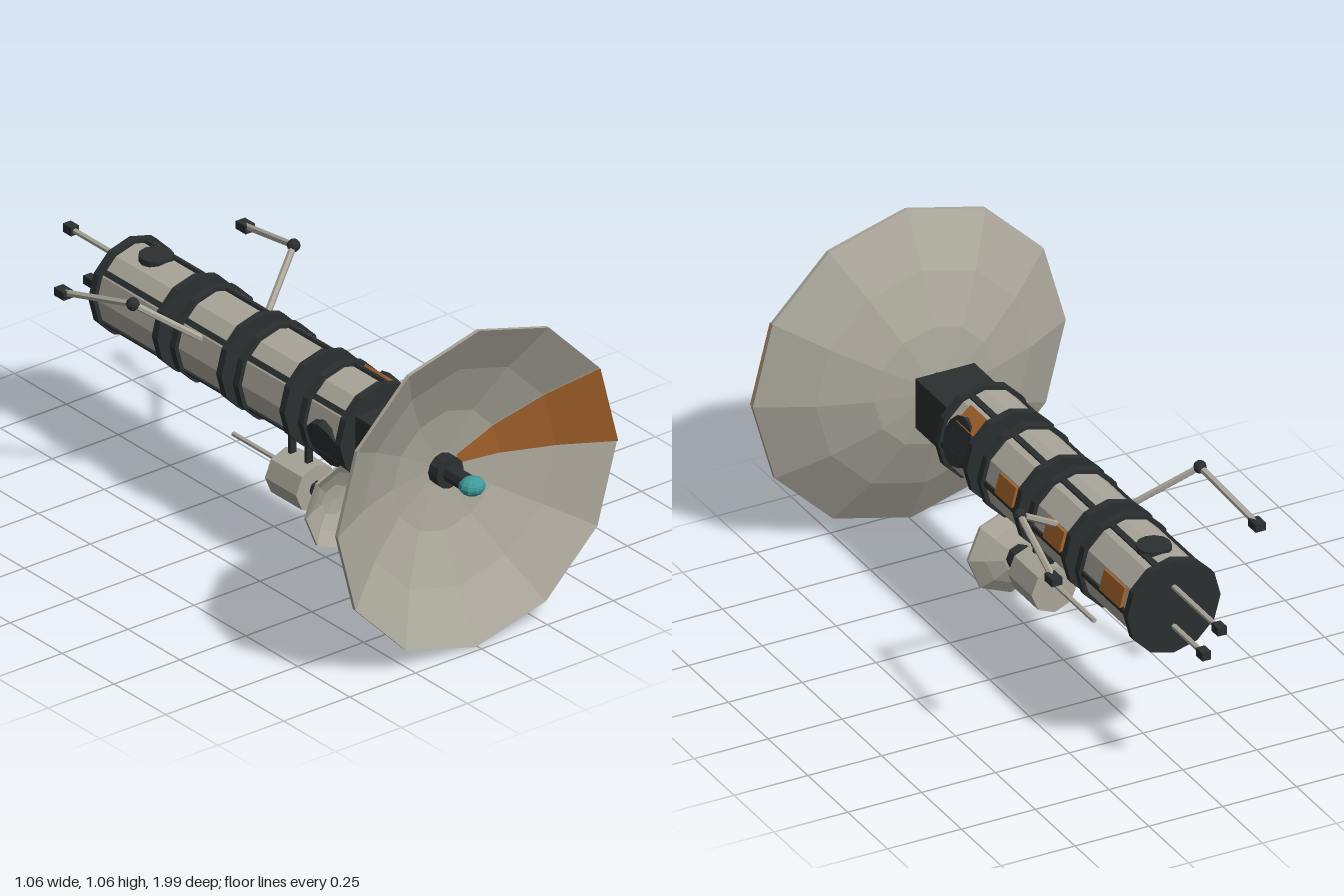
import * as THREE from 'three';

const mat = (color, side = THREE.FrontSide) => new THREE.MeshStandardMaterial({ color, side, flatShading: true });
const HULL = mat(0xaaa69a), DARK = mat(0x2b2f30), ORANGE = mat(0xa5622c), TEAL = mat(0x3f9a9a);
const SHELL = mat(0xaaa69a, THREE.DoubleSide), PATCH = mat(0xa5622c, THREE.DoubleSide);
const AXIS = 0.536; // height of the station's long axis

export function createModel() {
  const root = new THREE.Group();
  root.name = 'spaceStation';

  const add = (name, geo, material, x = 0, y = 0, z = 0, parent = root) => {
    const m = new THREE.Mesh(geo, material);
    m.name = name;
    m.position.set(x, y, z);
    parent.add(m);
    return m;
  };
  // cylinder lying along z between two stations
  const tube = (name, r, z0, z1, sides, material, y = AXIS, parent = root) =>
    add(name, new THREE.CylinderGeometry(r, r, z1 - z0, sides).rotateX(Math.PI / 2), material, 0, y, (z0 + z1) / 2, parent);
  // thin rod between two points
  const rod = (name, a, b, r, material) => {
    const p = new THREE.Vector3(...a), q = new THREE.Vector3(...b);
    const mid = p.clone().add(q).multiplyScalar(0.5);
    const m = add(name, new THREE.CylinderGeometry(r, r, p.distanceTo(q), 6), material, mid.x, mid.y, mid.z);
    m.quaternion.setFromUnitVectors(new THREE.Vector3(0, 1, 0), q.sub(p).normalize());
    return m;
  };
  // part laid on the hull at an angle around the axis, measured from +x
  const onHull = (name, geo, material, degrees, dist, z) => {
    const a = THREE.MathUtils.degToRad(degrees);
    const m = add(name, geo, material, Math.cos(a) * dist, AXIS + Math.sin(a) * dist, z);
    m.rotation.z = a;
    return m;
  };
  const lathe = (pts, sides, start = 0, length = Math.PI * 2) =>
    new THREE.LatheGeometry(pts.map(p => new THREE.Vector2(...p)), sides, start, length).rotateX(Math.PI / 2);
  const shift = (pts, d) => pts.map(([r, z]) => [r, z + d]);

  // pressurised modules with end rings and five ribs
  const modules = [[0.315, 0.52], [0.002, 0.252], [-0.303, -0.052], [-0.694, -0.362]];
  modules.forEach(([z0, z1]) => {
    tube('moduleHull', 0.144, z0 + 0.01, z1 - 0.01, 12, HULL);
    tube('moduleRing', 0.158, z0, z0 + 0.026, 12, DARK);
    tube('moduleRing', 0.158, z1 - 0.026, z1, 12, DARK);
    for (let i = 0; i < 5; i++)
      onHull('hullRib', new THREE.BoxGeometry(0.02, 0.018, z1 - z0 - 0.02), DARK, i * 72, 0.139, (z0 + z1) / 2);
  });

  // connecting tunnels and the block behind the dish
  [[-0.37, -0.295], [-0.06, 0.01], [0.245, 0.32], [0.73, 0.805]].forEach(([a, b]) =>
    tube('connector', 0.054, a, b, 10, DARK));
  add('serviceBlock', new THREE.BoxGeometry(0.2, 0.168, 0.23), DARK, 0, AXIS, 0.63);

  // coloured hull panels
  [[0.4, 50, 0.1], [0.097, 15, 0.105], [-0.205, 15, 0.105], [-0.572, 15, 0.13]].forEach(([z, deg, len]) =>
    onHull('hullPanel', new THREE.BoxGeometry(0.024, 0.066, len), ORANGE, deg, 0.138, z));

  // round hatches
  const hatch = r => new THREE.CylinderGeometry(r, r, 0.03, 12).rotateZ(-Math.PI / 2);
  onHull('sideHatch', hatch(0.079), DARK, 18, 0.128, 0.415);
  onHull('sideHatch', hatch(0.079), DARK, 198, 0.128, 0.415);
  onHull('topHatch', hatch(0.054), DARK, 90, 0.135, -0.567);

  // main dish
  const dish = new THREE.Group();
  dish.name = 'mainDish';
  dish.position.y = 0.533;
  dish.rotation.z = -0.014;
  root.add(dish);
  const bowl = [[0, 0.793], [0.06, 0.795], [0.2, 0.816], [0.365, 0.878], [0.53, 0.968]];
  add('dishBowl', lathe([...bowl, ...shift(bowl, 0.013).reverse()], 12), SHELL, 0, 0, 0, dish);
  add('dishPanel', lathe(shift(bowl, 0.018).slice(1), 1, Math.PI / 2, Math.PI / 6), PATCH, 0, 0, 0, dish);
  tube('feedBase', 0.051, 0.79, 0.85, 12, DARK, 0, dish);
  tube('feedMast', 0.028, 0.85, 0.94, 8, DARK, 0, dish);
  add('feedTip', new THREE.SphereGeometry(1, 10, 8).scale(0.042, 0.03, 0.04), TEAL, 0, 0, 0.955, dish);

  // small dish unit hanging below
  [0.168, 0.088].forEach(z => rod('podStrut', [0, 0.42, z], [0, 0.27, z], 0.013, DARK));
  tube('podDrum', 0.078, 0.056, 0.206, 8, HULL, 0.216);
  tube('podNeck', 0.027, 0.2, 0.24, 8, DARK, 0.216);
  tube('podCollar', 0.042, 0.235, 0.29, 8, DARK, 0.216);
  const small = [[0, 0.28], [0.05, 0.284], [0.1, 0.303], [0.145, 0.33]];
  add('podDish', lathe([...small, ...shift(small, 0.01).reverse()], 8), SHELL, 0, 0.214, 0);
  rod('podAntenna', [0, 0.235, 0.06], [0, 0.235, -0.195], 0.008, HULL);

  // mirrored jointed arms
  [1, -1].forEach(s => {
    const base = [s * 0.12, 0.595, -0.188], elbow = [s * 0.305, 0.73, -0.292], tip = [s * 0.344, 0.667, -0.57];
    rod('upperArm', base, elbow, 0.011, HULL);
    rod('foreArm', elbow, tip, 0.011, HULL);
    add('armElbow', new THREE.SphereGeometry(0.021, 8, 6), DARK, ...elbow);
    add('armGrip', new THREE.BoxGeometry(0.035, 0.026, 0.048), DARK, s * 0.345, 0.665, -0.576);
  });

  // rear antennas
  [[0.603, -0.978], [0.468, -0.88]].forEach(([y, z]) => {
    rod('rearAntenna', [0, y, -0.68], [0, y, z], 0.009, HULL);
    add('rearAntennaTip', new THREE.BoxGeometry(0.03, 0.028, 0.04), DARK, 0, y, z);
  });

  return root;
}
